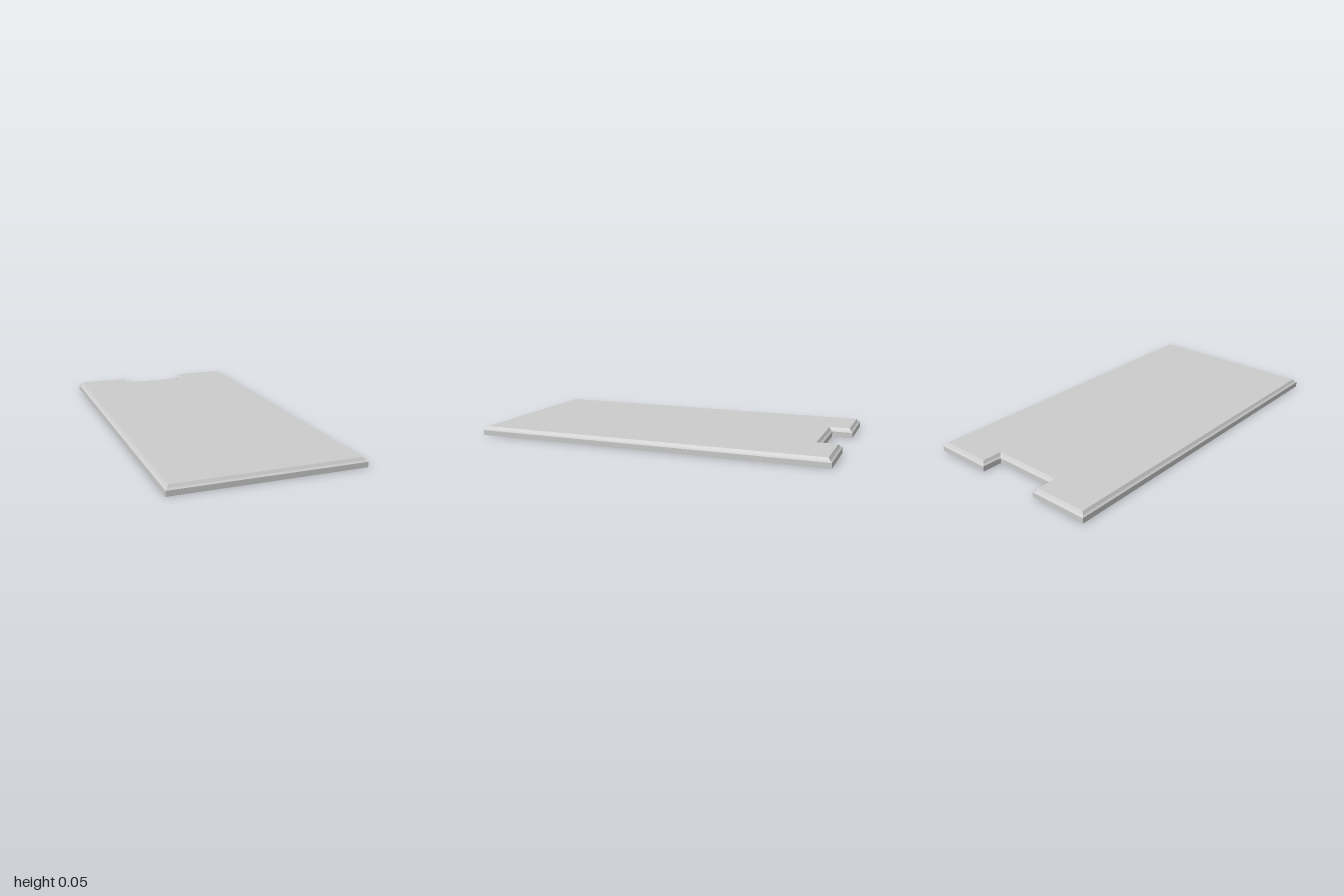
import * as THREE from 'three';

// Plan outline inset by d, counter-clockwise seen from above; y points to the back
function outline(d) {
  const w = 0.523 - d, l = 1 - d, n = 0.186 + d, b = 0.886 - d;
  return [[-w, -l], [w, -l], [w, l], [n, l], [n, b], [-n, b], [-n, l], [-w, l]]
    .map(([x, y]) => new THREE.Vector2(x, y));
}

function meshFrom(name, positions) {
  const geometry = new THREE.BufferGeometry();
  geometry.setAttribute('position', new THREE.Float32BufferAttribute(positions, 3));
  geometry.computeVertexNormals();
  const material = new THREE.MeshStandardMaterial({ color: 0xcccccc, flatShading: true });
  const mesh = new THREE.Mesh(geometry, material);
  mesh.name = name;
  return mesh;
}

// Flat panel filling the outline, facing up or down
function panel(name, [inset, height], up) {
  const points = outline(inset);
  const positions = [];
  for (const face of THREE.ShapeUtils.triangulateShape(points, [])) {
    const order = up ? face : [...face].reverse();
    for (const i of order) positions.push(points[i].x, height, -points[i].y);
  }
  return meshFrom(name, positions);
}

// Wall swept around the outline along a profile of [inset, height] pairs
function wall(name, profile) {
  const rings = profile.map(([inset, height]) =>
    outline(inset).map((p) => [p.x, height, -p.y]));
  const positions = [];
  for (let k = 0; k + 1 < rings.length; k++) {
    const lo = rings[k], hi = rings[k + 1];
    for (let i = 0; i < lo.length; i++) {
      const j = (i + 1) % lo.length;
      positions.push(...lo[i], ...lo[j], ...hi[j], ...lo[i], ...hi[j], ...hi[i]);
    }
  }
  return meshFrom(name, positions);
}

export function createModel() {
  const group = new THREE.Group();
  group.name = 'notchedCover';

  const ceiling = [0.008, 0.036];
  const top = [0.02, 0.05];

  // Top surface and hollow underside
  group.add(panel('topPanel', top, true));
  group.add(panel('undersidePanel', ceiling, false));

  // Inner wall, bottom rim, outer wall and stepped bevel
  group.add(wall('bevelledRim', [
    ceiling, [0.008, 0], [0, 0], [0, 0.029], [0.01, 0.036], top,
  ]));

  return group;
}
